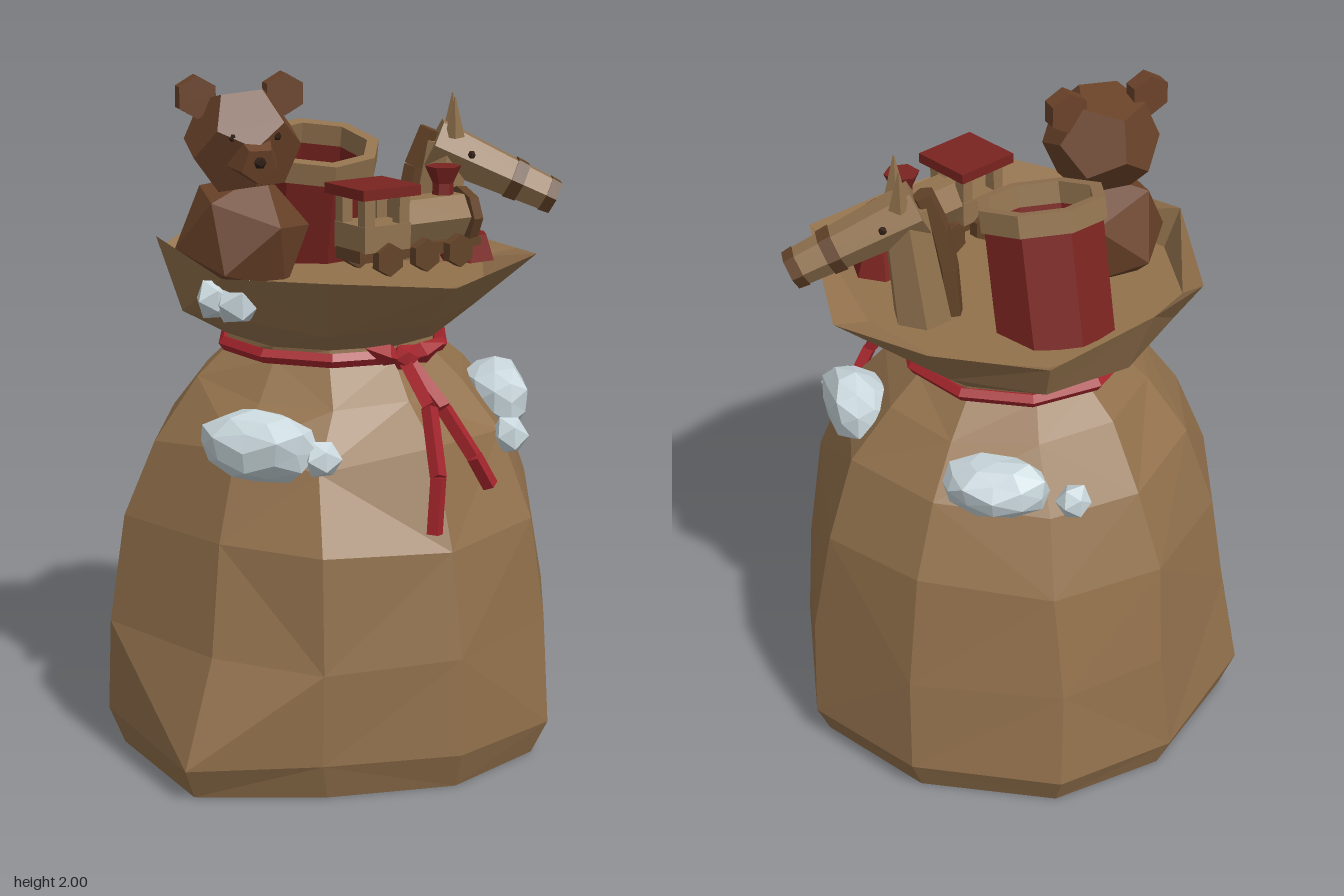
import * as THREE from 'three';

const mat = (name, color) => {
  const m = new THREE.MeshStandardMaterial({ color, flatShading: true });
  m.name = name;
  return m;
};
const V = (x, y, z) => new THREE.Vector3(x, y, z);

export function createModel() {
  const M = {
    burlap: mat('burlap', 0x92714c), wood: mat('light wood', 0x92734f), fur: mat('brown fur', 0x6a4229),
    brown: mat('dark wood', 0x634328), red: mat('dark red paint', 0x7a2420), ribbon: mat('red ribbon', 0xa3252c),
    snow: mat('snow', 0xc8d6db), dark: mat('dark eyes', 0x2e1c12),
  };
  M.red.side = THREE.DoubleSide;
  const root = new THREE.Group();
  root.name = 'toySack';

  const add = (parent, name, geo, material, x = 0, y = 0, z = 0) => {
    const m = new THREE.Mesh(geo, material);
    m.name = name;
    m.position.set(x, y, z);
    parent.add(m);
    return m;
  };
  const group = (name, x = 0, y = 0, z = 0) => {
    const g = new THREE.Group();
    g.name = name;
    g.position.set(x, y, z);
    root.add(g);
    return g;
  };
  // tapered prism running from a to b
  const bar = (parent, name, a, b, ra, rb, sides, material) => {
    const d = b.clone().sub(a);
    const m = add(parent, name, new THREE.CylinderGeometry(rb, ra, d.length(), sides), material);
    m.position.copy(a).addScaledVector(d, 0.5);
    m.quaternion.setFromUnitVectors(V(0, 1, 0), d.normalize());
    return m;
  };
  const noise = (a, b) => { const s = Math.sin(a * 12.99 + b * 78.23) * 437.5; return (s - Math.floor(s)) * 2 - 1; };

  // sack: ten uneven corners swept up to the neck, out to the rim, and in to the filling
  const angles = [-2, 42, 74, 109, 140, 181, 214, 254, 286, 323].map(THREE.MathUtils.degToRad);
  const foot = [0.71, 0.7, 0.69, 0.67, 0.79, 0.7, 0.69, 0.68, 0.7, 0.69];
  const shoulder = [0.7, 0.69, 0.69, 0.69, 0.66, 0.69, 0.64, 0.66, 0.66, 0.68];
  const rim = [[0.59, 1.44], [0.64, 1.51], [0.62, 1.46], [0.65, 1.5], [0.57, 1.48],
    [0.53, 1.54], [0.54, 1.45], [0.56, 1.55], [0.51, 1.43], [0.55, 1.47]];
  // height, scale, change from foot to shoulder outline, jitter
  const body = [[0, 0.93, 0, 0], [0.1, 1, 0, 0.01], [0.4, 0.995, 0.8, 0.02], [0.73, 0.94, 1, 0.025],
    [0.96, 0.8, 1, 0.025], [1.11, 0.61, 1, 0.02], [1.2, 0.47, 1, 0]];
  const at = (j, r, y, turn = 0) => [r * Math.cos(angles[j] + turn), y, r * Math.sin(angles[j] + turn)];
  const rings = body.map(([y, s, mix, jit], i) => angles.map((_, j) => at(j,
    s * THREE.MathUtils.lerp(foot[j], shoulder[j], mix) * (1 - Math.abs(noise(i, j)) * jit),
    y + 1.3 * jit * noise(j, i + 3), 2 * jit * noise(i + 2, j + 7))));
  rings.unshift(angles.map(() => [0, 0, 0]));
  rings.push(angles.map((_, j) => at(j, 0.32, 1.24)));
  rings.push(angles.map((_, j) => at(j, 0.44 + 0.03 * noise(j, 9), 1.33 + 0.03 * noise(j, 5))));
  rings.push(rim.map(([r, y], j) => at(j, r, y)));
  rings.push(angles.map((_, j) => at(j, 0.48, 1.42)));
  rings.push(angles.map(() => [0, 1.42, 0]));
  const index = [];
  for (let i = 0; i < rings.length - 1; i++) {
    for (let j = 0; j < 10; j++) {
      const a = i * 10 + j, b = i * 10 + (j + 1) % 10, c = a + 10, d = b + 10;
      if ((i + j) % 3) index.push(a, c, b, b, c, d);
      else index.push(a, c, d, a, d, b);
    }
  }
  const sackGeo = new THREE.BufferGeometry();
  sackGeo.setAttribute('position', new THREE.Float32BufferAttribute(rings.flat(2), 3));
  sackGeo.setIndex(index);
  sackGeo.computeVertexNormals();
  add(root, 'sack', sackGeo, M.burlap);

  // ribbon, bow and hanging tails
  const tie = group('ribbon');
  const band = add(tie, 'ribbonBand', new THREE.TorusGeometry(0.33, 0.022, 5, 10), M.ribbon, 0, 1.215, 0.01);
  band.rotation.x = Math.PI / 2;
  add(tie, 'knot', new THREE.IcosahedronGeometry(0.042, 0), M.ribbon, 0.11, 1.215, 0.345);
  for (const s of [-1, 1]) {
    const loop = add(tie, 'bowLoop', new THREE.OctahedronGeometry(0.065, 0), M.ribbon, 0.11 + s * 0.055, 1.225, 0.345);
    loop.scale.set(1.1, 0.5, 0.6);
    loop.rotation.z = s * 0.35;
  }
  const tails = [
    [V(0.11, 1.2, 0.35), V(0.13, 1.1, 0.5), V(0.115, 0.93, 0.62), V(0.1, 0.77, 0.635)],
    [V(0.12, 1.2, 0.35), V(0.18, 1.09, 0.48), V(0.25, 0.96, 0.545), V(0.3, 0.87, 0.545)],
  ];
  for (const pts of tails) for (let i = 0; i < 3; i++) bar(tie, 'ribbonTail', pts[i], pts[i + 1], 0.024, 0.024, 4, M.ribbon);

  // snow clumps: centre, half sizes, turn
  const clumps = [
    [-0.36, 1.01, 0.43, 0.18, 0.105, 0.09, -0.7], [-0.2, 0.99, 0.54, 0.055, 0.055, 0.05, 0],
    [0.46, 1.04, 0.15, 0.095, 0.105, 0.155, 0], [0.42, 0.97, 0.38, 0.055, 0.06, 0.055, 0],
    [0.27, 1.04, -0.42, 0.16, 0.09, 0.09, -0.6], [0.07, 0.98, -0.51, 0.055, 0.055, 0.05, 0],
    [-0.38, 1.4, 0.31, 0.075, 0.07, 0.075, 0], [-0.44, 1.41, 0.29, 0.055, 0.06, 0.055, 0],
  ];
  clumps.forEach(([x, y, z, sx, sy, sz, turn], k) => {
    const geo = new THREE.IcosahedronGeometry(1, sx * sz > 0.01 ? 1 : 0);
    const p = geo.attributes.position;
    for (let i = 0; i < p.count; i++) {
      const v = V().fromBufferAttribute(p, i);
      const key = Math.round(v.x * 50) + Math.round(v.y * 50) * 1.7 + Math.round(v.z * 50) * 2.3;
      v.multiplyScalar(1 + 0.1 * noise(key, k));
      p.setXYZ(i, v.x, v.y, v.z);
    }
    const m = add(root, 'snowClump', geo, M.snow, x, y, z);
    m.scale.set(sx, sy, sz);
    m.rotation.y = turn;
  });

  // toy bear
  const bear = group('toyBear', -0.28, 0, 0.02);
  const bearBody = add(bear, 'bearBody', new THREE.IcosahedronGeometry(0.2, 0), M.fur, 0, 1.53, 0);
  bearBody.rotation.set(0.3, 0.5, 0.2);
  const bearHead = add(bear, 'bearHead', new THREE.DodecahedronGeometry(0.17, 0), M.fur, 0, 1.81, 0.01);
  bearHead.rotation.set(0.35, 0, 0.1);
  bar(bear, 'bearSnout', V(0, 1.785, 0.1), V(0, 1.765, 0.19), 0.085, 0.055, 5, M.fur);
  add(bear, 'bearNose', new THREE.IcosahedronGeometry(0.02, 0), M.dark, 0, 1.775, 0.19);
  for (const s of [-1, 1]) {
    const x = s * 0.13;
    bar(bear, 'bearEar', V(x, 1.94, -0.045), V(x, 1.94, 0.005), 0.062, 0.062, 6, M.fur);
    add(bear, 'bearEye', new THREE.IcosahedronGeometry(0.014, 0), M.dark, s * 0.065, 1.84, 0.14);
  }

  // leaning open drum
  const drum = group('drum', 0, 1.76, -0.145);
  drum.rotation.x = 0.25;
  const tube = (name, r0, r1, y0, y1, material) => {
    const pts = [[r0, y0], [r1, y0], [r1, y1], [r0, y1], [r0, y0]].map(([x, y]) => new THREE.Vector2(x, y));
    add(drum, name, new THREE.LatheGeometry(pts, 8), material);
  };
  tube('drumShell', 0.16, 0.18, -0.39, -0.04, M.red);
  tube('drumTopHoop', 0.155, 0.192, -0.055, 0.01, M.wood);

  // toy train
  const train = group('toyTrain', 0.03, 0, 0.285);
  train.rotation.y = 0.3;
  add(train, 'chassis', new THREE.BoxGeometry(0.43, 0.035, 0.12), M.brown, 0.13, 1.515, 0);
  add(train, 'cabBase', new THREE.BoxGeometry(0.16, 0.075, 0.15), M.wood, 0, 1.565, 0);
  for (const x of [-0.06, 0.06]) for (const z of [-0.055, 0.055]) {
    add(train, 'cabPost', new THREE.BoxGeometry(0.035, 0.09, 0.035), M.wood, x, 1.64, z);
  }
  add(train, 'cabRoof', new THREE.BoxGeometry(0.2, 0.03, 0.19), M.red, 0, 1.697, 0);
  bar(train, 'boiler', V(0.08, 1.595, 0), V(0.3, 1.595, 0), 0.072, 0.072, 6, M.wood);
  bar(train, 'boilerFront', V(0.3, 1.59, 0), V(0.335, 1.59, 0), 0.086, 0.082, 8, M.brown);
  bar(train, 'chimney', V(0.25, 1.64, 0), V(0.25, 1.7, 0), 0.032, 0.03, 6, M.red);
  bar(train, 'chimneyTop', V(0.25, 1.69, 0), V(0.25, 1.74, 0), 0.03, 0.053, 6, M.red);
  const catcher = bar(train, 'cowcatcher', V(0.34, 1.46, 0), V(0.34, 1.535, 0), 0.085, 0.06, 6, M.red);
  catcher.rotation.y = Math.PI / 6;
  for (const x of [0, 0.13, 0.25]) for (const s of [-1, 1]) {
    bar(train, 'wheel', V(x, 1.505, s * 0.06), V(x, 1.505, s * 0.09), 0.048, 0.048, 6, M.brown);
  }

  // hobby horse
  const horse = group('toyHorse', 0.36, 0, -0.04);
  horse.rotation.y = -0.28;
  bar(horse, 'horseNeck', V(-0.04, 1.38, 0), V(0.01, 1.77, 0), 0.09, 0.068, 6, M.wood);
  bar(horse, 'horseHead', V(-0.03, 1.77, 0), V(0.33, 1.605, 0), 0.08, 0.055, 6, M.wood);
  bar(horse, 'noseBand', V(0.2, 1.665, 0), V(0.235, 1.649, 0), 0.069, 0.066, 6, M.brown);
  bar(horse, 'muzzle', V(0.305, 1.616, 0), V(0.335, 1.602, 0), 0.06, 0.056, 6, M.brown);
  const mane = [V(-0.04, 1.81, 0), V(-0.085, 1.7, 0), V(-0.11, 1.57, 0), V(-0.12, 1.42, 0)];
  for (let i = 0; i < 3; i++) bar(horse, 'horseMane', mane[i], mane[i + 1], 0.034, 0.034, 5, M.brown);
  for (const s of [-1, 1]) {
    bar(horse, 'horseEar', V(0.03, 1.79, s * 0.045), V(0.03, 1.91, s * 0.05), 0.03, 0.002, 4, M.wood);
    add(horse, 'horseEye', new THREE.IcosahedronGeometry(0.013, 0), M.dark, 0.08, 1.74, s * 0.066);
  }
  return root;
}
